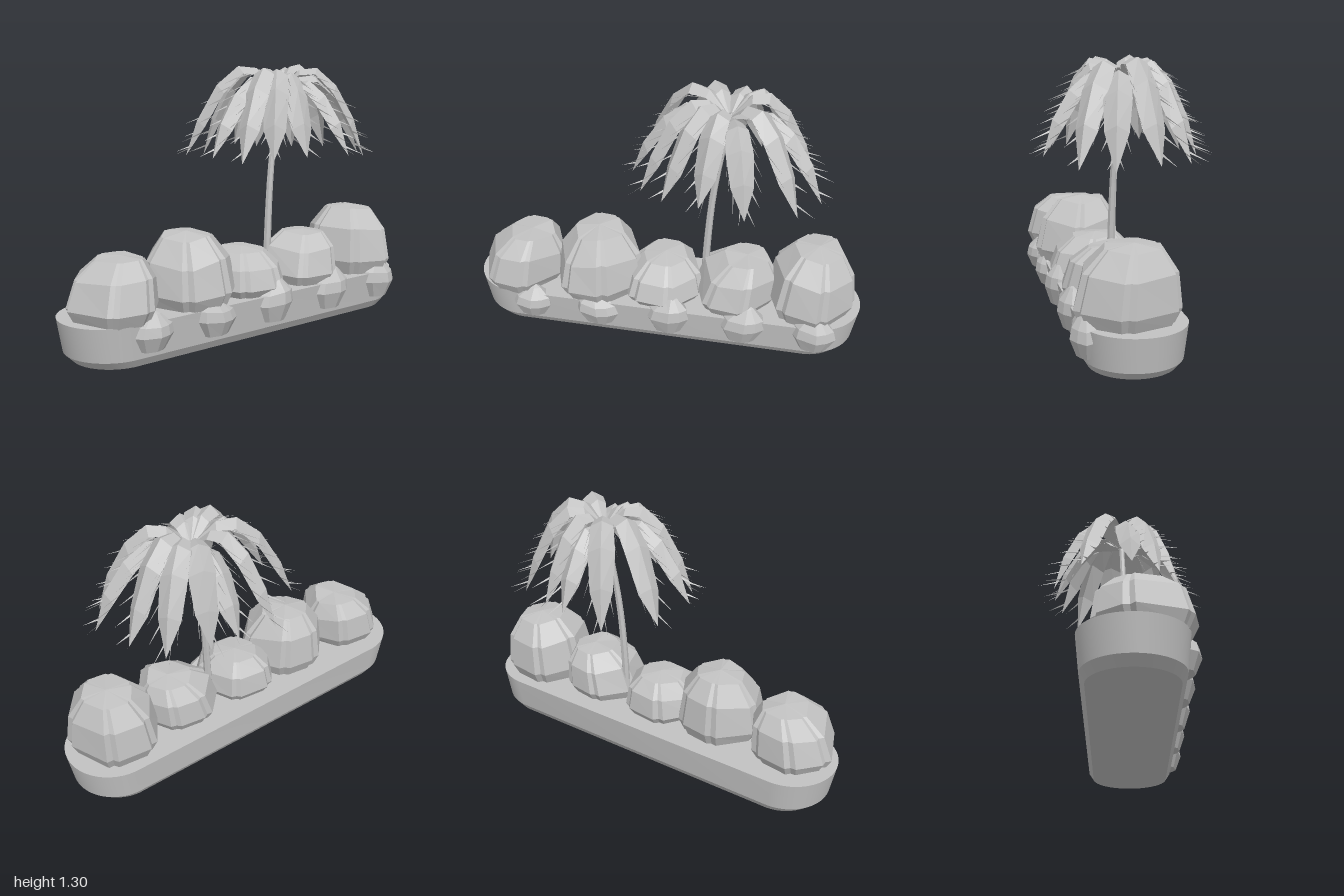
import * as THREE from 'three';
import { toCreasedNormals } from 'three/addons/utils/BufferGeometryUtils.js';

const grey = new THREE.MeshStandardMaterial({ color: 0xc2c2c2, side: THREE.DoubleSide });
grey.name = 'plain grey';

function seeded(seed) {
  return () => {
    seed = (seed * 16807) % 2147483647;
    return seed / 2147483647;
  };
}

function part(name, geometry) {
  const mesh = new THREE.Mesh(geometry, grey);
  mesh.name = name;
  return mesh;
}

// Give every triangle its own flat normal
function faceted(geometry) {
  const g = geometry.index ? geometry.toNonIndexed() : geometry;
  g.computeVertexNormals();
  return g;
}

function triangles(points) {
  return faceted(new THREE.BufferGeometry().setFromPoints(points));
}

// Round tub pulled apart along x into a long planter
function planter() {
  const n = 48;
  const profile = [[0, 0], [0.196, 0], [0.22, 0.04], [0.236, 0.2], [0, 0.2]];
  const g = new THREE.LatheGeometry(profile.map(p => new THREE.Vector2(...p)), n, Math.PI / n);
  const pos = g.attributes.position;
  for (let i = 0; i < pos.count; i++) {
    const x = pos.getX(i);
    const stretch = pos.getY(i) > 0.1 ? 0.764 : pos.getY(i) > 0.01 ? 0.752 : 0.735;
    if (Math.abs(x) > 1e-5) pos.setX(i, x + Math.sign(x) * stretch);
  }
  g.translate(0, 0, 0.025);
  return part('planter', toCreasedNormals(g, 0.3));
}

// Faceted bush: a lathe whose columns gather into creased bundles of three;
// the upper rows lean sideways by leanX and leanZ
function bush(name, { x, z, rx, rz, y0, y1, leanX, leanZ, profile, sides, gather, seed }) {
  const rand = seeded(seed * 7919);
  const g = new THREE.LatheGeometry(profile.map(p => new THREE.Vector2(...p)), sides);
  const step = Math.PI * 2 / sides;
  const bundles = Array.from({ length: sides / 3 }, () => ({
    turn: (rand() - 0.5) * 0.8 * step,
    lift: (rand() - 0.5) * 0.14,
  }));
  const columns = Array.from({ length: sides }, (_, i) => {
    const bundle = bundles[Math.floor(i / 3)];
    return {
      reach: i % 3 === 1 ? 0.97 + rand() * 0.03 : 1.01 + rand() * 0.06,
      turn: bundle.turn + (1 - i % 3) * gather * step,
      lift: bundle.lift,
    };
  });
  const pos = g.attributes.position;
  const rows = profile.length;
  for (let i = 0; i < pos.count; i++) {
    const c = columns[Math.floor(i / rows) % sides];
    const [radius, height] = profile[i % rows];
    const angle = Math.atan2(pos.getX(i), pos.getZ(i)) + c.turn;
    const r = radius * c.reach;
    const lift = radius > 0 ? c.lift * Math.min(height, 1.25 - height) * 2 : 0;
    pos.setXYZ(i,
      x + Math.sin(angle) * r * rx + leanX * height * height,
      y0 + (height + lift) * (y1 - y0),
      z + Math.cos(angle) * r * rz + leanZ * height * height);
  }
  return part(name, faceted(g));
}

// One drooping keeled frond with thin spines along both edges
function frond(name, crown, tipX, tipZ, tipY, rise, rand) {
  const flat = new THREE.Vector3(tipX - crown.x, 0, tipZ - crown.z);
  const out = flat.clone().normalize();
  const side = new THREE.Vector3(-out.z, 0, out.x);
  // fraction of reach, height, half width
  const stations = [
    [0.02, crown.y, 0.012], [0.24, 1.28 + rise, 0.042], [0.44, 1.29 + rise, 0.054],
    [0.67, 1.2 + rise * 0.7, 0.064], [0.88, 1.03, 0.054], [1, tipY, 0.001],
  ];
  const rows = stations.map(([f, y, w], i) => {
    const mid = crown.clone().addScaledVector(flat, f).setY(y);
    const edge = s => mid.clone().addScaledVector(side, s * w)
      .addScaledVector(out, -w * 0.12 * i).setY(y - w * 0.6);
    return [edge(-1), mid, edge(1)];
  });
  const blade = [];
  for (let i = 0; i < rows.length - 1; i++) {
    for (let k = 0; k < 2; k++) {
      const a = rows[i][k], b = rows[i][k + 1], c = rows[i + 1][k + 1], d = rows[i + 1][k];
      blade.push(a, b, c, a, c, d);
    }
  }
  const spines = [];
  for (const k of [0, 2]) {
    for (let t = 1.7; t < 4.8; t += 0.5) {
      const i = Math.floor(t);
      const along = rows[i + 1][k].clone().sub(rows[i][k]);
      const root = rows[i][k].clone().addScaledVector(along, t - i);
      const length = 0.06 + rand() * 0.05;
      const tip = root.clone().addScaledVector(out, length)
        .addScaledVector(side, (k - 1) * 0.02);
      tip.y -= length * 0.4;
      along.normalize().multiplyScalar(0.006);
      spines.push(root.clone().sub(along), root.clone().add(along), tip);
    }
  }
  const group = new THREE.Group();
  group.name = name;
  group.add(part('blade', triangles(blade)), part('spines', triangles(spines)));
  return group;
}

function palm() {
  const group = new THREE.Group();
  group.name = 'palm';

  // Curved trunk, narrowing upward
  const curve = new THREE.CatmullRomCurve3([
    [0.195, 0.2, 0.005], [0.203, 0.45, 0.003], [0.225, 0.75, -0.003],
    [0.262, 1.0, -0.012], [0.3, 1.2, -0.02],
  ].map(p => new THREE.Vector3(...p)));
  const steps = 10, sides = 7;
  const g = new THREE.TubeGeometry(curve, steps, 0.021, sides);
  const v = new THREE.Vector3();
  for (let i = 0; i < g.attributes.position.count; i++) {
    const t = Math.floor(i / (sides + 1)) / steps;
    const centre = curve.getPointAt(t);
    v.fromBufferAttribute(g.attributes.position, i).sub(centre).multiplyScalar(1 - 0.35 * t).add(centre);
    g.attributes.position.setXYZ(i, v.x, v.y, v.z);
  }
  group.add(part('trunk', faceted(g)));

  // Crown of fronds: the spot each tip hangs over and how high it arches
  const rand = seeded(4242);
  const crown = new THREE.Vector3(0.29, 1.19, -0.02);
  [
    [0.07, -0.37, 0], [0.29, -0.38, -0.06], [0.42, -0.35, -0.01], [0.61, -0.27, 0],
    [0.7, -0.11, 0.015], [0.75, 0.1, -0.04], [0.65, 0.24, 0], [0.42, 0.36, -0.06],
    [0.2, 0.3, -0.02], [0.02, 0.26, 0], [-0.1, 0.17, 0.005], [-0.17, 0.03, -0.04],
    [-0.15, -0.22, 0.01],
  ].forEach(([x, z, rise], i) => {
    group.add(frond('frond' + (i + 1), crown, x, z, 0.83 + rand() * 0.04, rise, rand));
  });
  return group;
}

export function createModel() {
  const model = new THREE.Group();
  model.name = 'planterWithPalm';
  model.add(planter(), palm());

  // Row of large bushes: x, z, half width, half depth, top, sideways lean
  const dome = [[0, 0], [0.86, 0], [1, 0.2], [0.88, 0.64], [0.54, 0.93], [0, 0.98]];
  [
    [-0.76, 0.075, 0.21, 0.22, 0.475, 0.06],
    [-0.345, 0.075, 0.23, 0.22, 0.545, 0],
    [-0.01, 0.065, 0.205, 0.21, 0.42, 0.01],
    [0.36, 0.065, 0.205, 0.21, 0.455, 0.06],
    [0.74, 0.05, 0.212, 0.235, 0.55, 0.03],
  ].forEach(([x, z, rx, rz, y1, leanX], i) => {
    model.add(bush('largeBush' + (i + 1), {
      x, z, rx, rz, y0: 0.195, y1, leanX, leanZ: -0.025,
      profile: dome, sides: 18, gather: 0.65, seed: i + 3,
    }));
  });

  // Small trailing bushes over the front edge: x, half width, top, lean
  const bud = [[0, 0], [0.6, 0.02], [0.97, 0.4], [0.86, 0.64], [0.3, 0.92], [0, 1]];
  [
    [-0.67, 0.11, 0.245, 0.02], [-0.315, 0.118, 0.265, -0.02], [0.045, 0.116, 0.28, 0.02],
    [0.42, 0.118, 0.285, 0.03], [0.78, 0.114, 0.29, 0],
  ].forEach(([x, rx, y1, leanX], i) => {
    model.add(bush('smallBush' + (i + 1), {
      x, z: 0.232, rx, rz: 0.078, y0: 0.065, y1, leanX, leanZ: 0,
      profile: bud, sides: 9, gather: 0.2, seed: i + 21,
    }));
  });
  return model;
}
